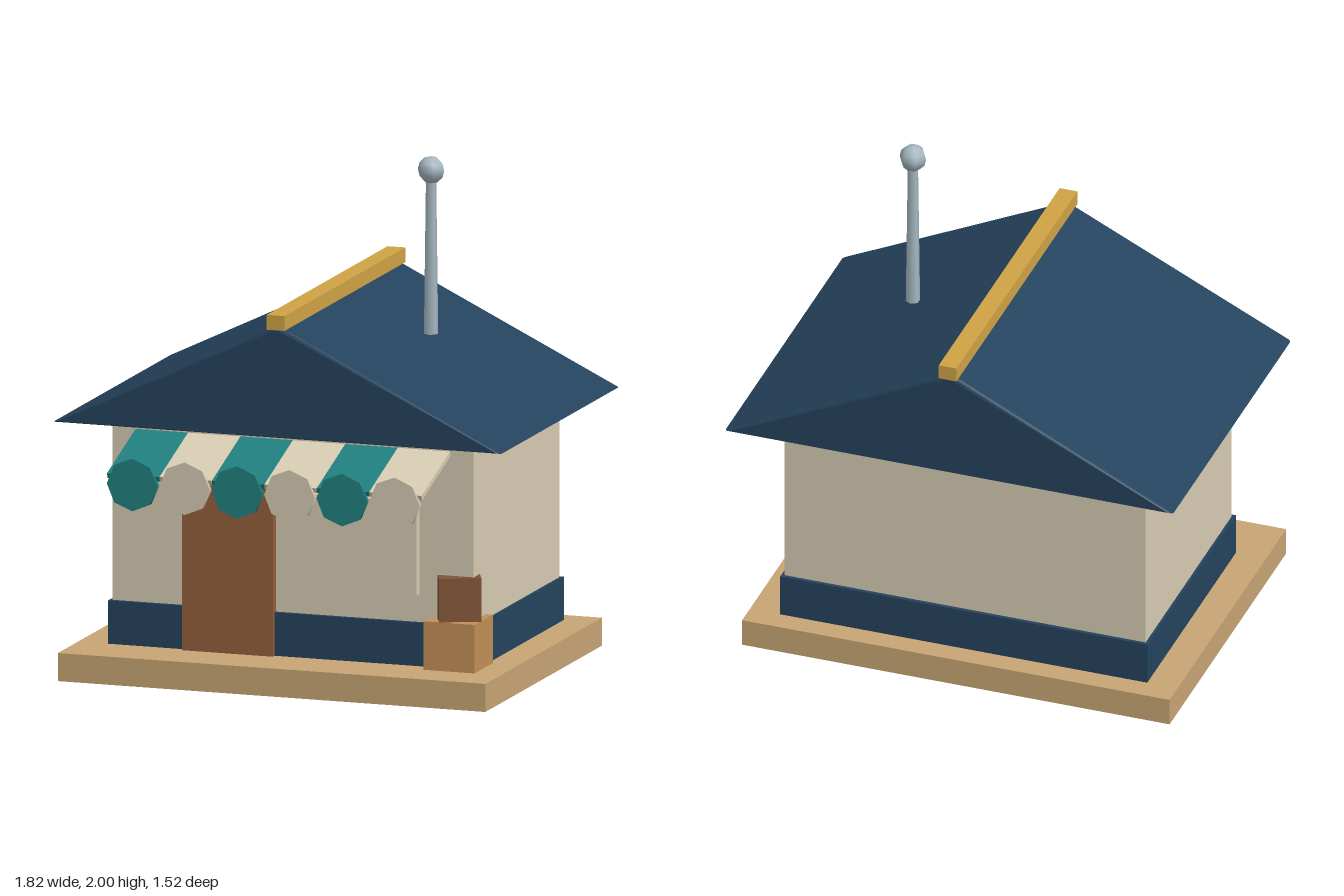
import * as THREE from 'three';

const material = (name, color) => {
  const m = new THREE.MeshStandardMaterial({ color });
  m.name = name;
  return m;
};

export function createModel() {
  const navy = material('navy', 0x24435d);
  const cream = material('cream', 0xd8ccb3);
  const teal = material('teal', 0x208080);
  const sand = material('sand', 0xc8a675);
  const gold = material('gold', 0xd0a445);
  const doorBrown = material('door brown', 0x955f3c);
  const crateTan = material('crate tan', 0xc49058);
  const crateBrown = material('crate brown', 0x805437);
  const metal = material('metal', 0xa6b8c3);

  const model = new THREE.Group();
  model.name = 'shop';
  const add = (name, geometry, mat, x = 0, y = 0, z = 0) => {
    const mesh = new THREE.Mesh(geometry, mat);
    mesh.name = name;
    mesh.position.set(x, y, z);
    model.add(mesh);
    return mesh;
  };
  // Box given by its low and high corner on each axis
  const box = (name, mat, [x0, x1], [y0, y1], [z0, z1]) =>
    add(name, new THREE.BoxGeometry(x1 - x0, y1 - y0, z1 - z0), mat,
      (x0 + x1) / 2, (y0 + y1) / 2, (z0 + z1) / 2);

  // Building body
  box('base', sand, [-0.87, 0.87], [0, 0.11], [-0.665, 0.665]);
  box('plinth', navy, [-0.747, 0.747], [0.11, 0.28], [-0.575, 0.435]);
  box('walls', cream, [-0.735, 0.735], [0.11, 1.005], [-0.56, 0.42]);
  box('door', doorBrown, [-0.44, -0.07], [0.11, 0.775], [0.41, 0.455]);
  box('window', cream, [0.08, 0.515], [0.39, 0.757], [0.41, 0.453]);

  // Gabled roof with a fine bevel
  const gable = new THREE.Shape([
    new THREE.Vector2(-0.891, 1.005),
    new THREE.Vector2(0.891, 1.005),
    new THREE.Vector2(0, 1.425),
  ]);
  const roof = new THREE.ExtrudeGeometry(gable, {
    depth: 1.33, bevelEnabled: true, bevelSize: 0.015, bevelThickness: 0.015, bevelSegments: 2,
  });
  add('roof', roof, navy, 0, 0, -0.735);
  box('ridgeBeam', gold, [-0.036, 0.036], [1.425, 1.483], [-0.76, 0.62]);

  // Antenna
  add('antennaPole', new THREE.CylinderGeometry(0.02, 0.028, 0.61, 6), metal, 0.387, 1.61, -0.07);
  add('antennaBall', new THREE.SphereGeometry(0.054, 6, 6), metal, 0.387, 1.946, -0.07);

  // Striped awning with hanging scallops
  const stripe = 1.28 / 6;
  for (let i = 0; i < 6; i++) {
    const x = -0.64 + stripe * (i + 0.5);
    const mat = i % 2 ? cream : teal;
    const panel = add('awningStripe', new THREE.BoxGeometry(stripe, 0.02, 0.345), mat, x, 0.892, 0.583);
    panel.rotation.x = 0.325;
    const scallop = add('awningScallop', new THREE.CylinderGeometry(0.103, 0.103, 0.02, 8), mat, x, 0.81, 0.752);
    scallop.rotation.x = Math.PI / 2;
  }

  // Stacked crates
  box('lowerCrate', crateTan, [0.556, 0.765], [0.11, 0.3], [0.285, 0.493]);
  const upper = add('upperCrate', new THREE.BoxGeometry(0.163, 0.17, 0.09), crateBrown, 0.677, 0.385, 0.42);
  upper.rotation.y = 0.42;

  return model;
}
